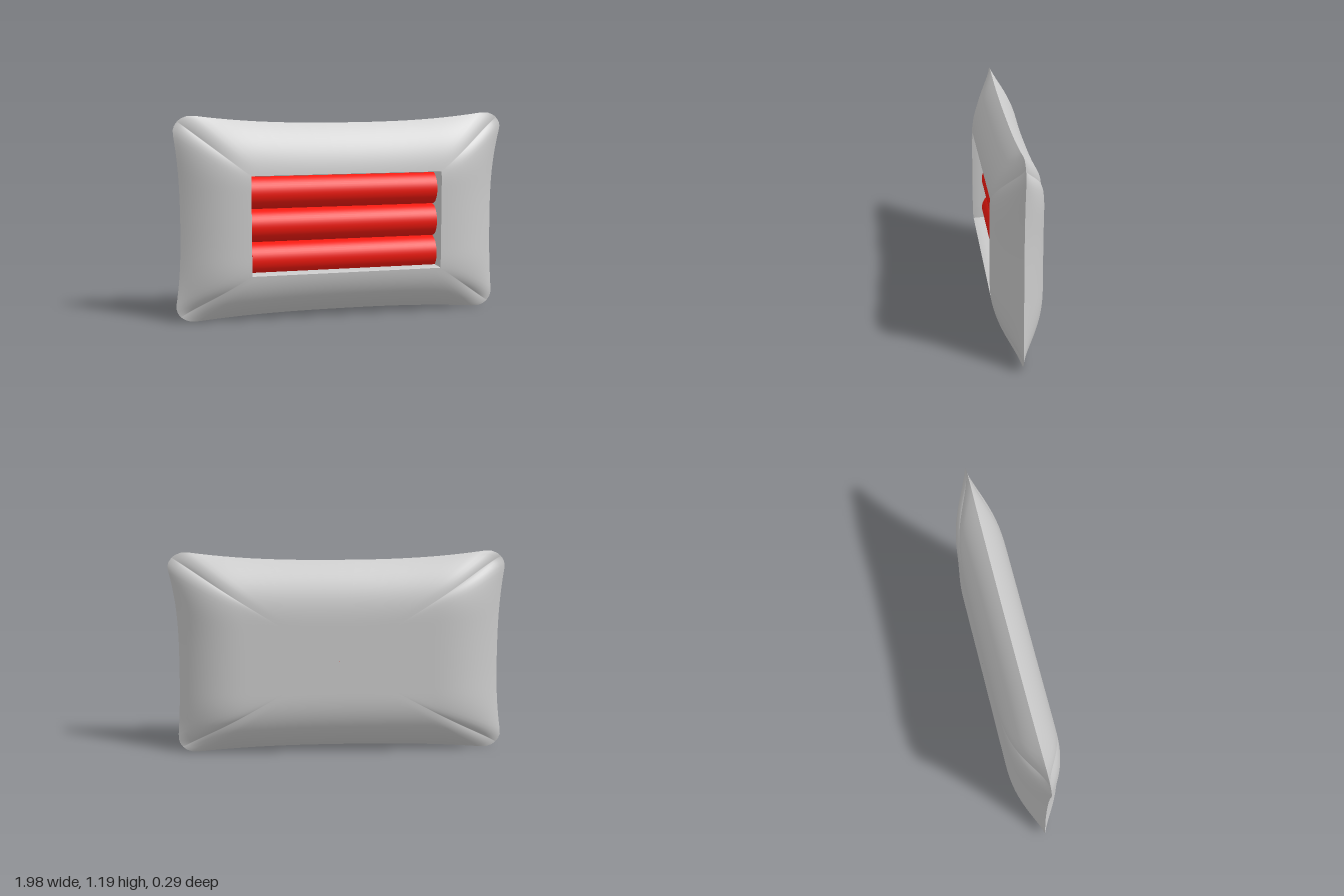
import * as THREE from 'three';
import { toCreasedNormals } from 'three/addons/utils/BufferGeometryUtils.js';

const SIDE = 30;                       // loop points along each side
const HOLE = { x: 0.57, y: 0.29, cy: 0.57 };
const THICK = 0.146;

const grey = new THREE.MeshStandardMaterial({ color: 0xcccccc });
const red = new THREE.MeshStandardMaterial({ color: 0xf51a10 });

// Counter-clockwise points of the unit square, denser near the corners
function squareLoop() {
  const loop = [];
  for (let side = 0; side < 4; side++) {
    for (let i = 0; i < SIDE; i++) {
      const w = Math.sin((i / SIDE - 0.5) * Math.PI);
      loop.push([[w, -1], [1, w], [-w, 1], [-1, -w]][side]);
    }
  }
  return loop;
}

// Pinched outline with rounded, drawn-out corners
function outline([u, v]) {
  const hx = 0.95, hy = 0.558, r = 0.1;
  let x = u * hx, y = v * hy;
  const cx = THREE.MathUtils.clamp(x, r - hx, hx - r);
  const cy = THREE.MathUtils.clamp(y, r - hy, hy - r);
  const d = Math.hypot(x - cx, y - cy);
  if (d > 0) {
    x = cx + (x - cx) * r / d;
    y = cy + (y - cy) * r / d;
  }
  const a = x / hx, b = y / hy;
  const ear = (w) => Math.min(1, Math.pow(Math.abs(w) / 0.88, 2.5));
  const right = 0.935 + (b > 0 ? 0.06 : 0.02) * ear(b);
  const left = 0.96 + 0.037 * ear(b);
  const top = 0.558 + 0.05 * ear(a);
  const bottom = 0.557 + 0.032 * ear(a);
  return [a * (a > 0 ? right : left), 0.592 + b * (b > 0 ? top : bottom)];
}

// Pillow thickness, thin at the seam and flat in the middle
function puff(u, v) {
  const f = (t) => 1 - Math.pow(1 - Math.min(1, Math.max(0, t)), 2.6);
  return THICK * f((1 - Math.abs(u)) / 0.44) * f((1 - Math.abs(v)) / 0.66);
}

// Skin between successive closed loops of [x, y, z] points
function loft(loops, flip = false) {
  const n = loops[0].length, index = [];
  for (let j = 0; j < loops.length - 1; j++) {
    for (let i = 0; i < n; i++) {
      const a = j * n + i, b = j * n + (i + 1) % n, c = a + n, d = b + n;
      if (flip) index.push(a, c, b, b, c, d);
      else index.push(a, b, c, b, d, c);
    }
  }
  const geo = new THREE.BufferGeometry();
  geo.setAttribute('position', new THREE.Float32BufferAttribute(loops.flat(2), 3));
  geo.setIndex(index);
  geo.computeVertexNormals();
  return geo;
}

// Half of the pillow: loops shrink from the seam to an inner rectangle
function shell(innerX, innerY, sign, steps) {
  const loops = [];
  const lerp = THREE.MathUtils.lerp;
  for (let j = 0; j <= steps; j++) {
    const k = j / steps;
    loops.push(squareLoop().map(([u, v]) => {
      const [x, y] = outline([u, v]);
      const pu = lerp(u, u * innerX / 0.96, k), pv = lerp(v, v * innerY / 0.56, k);
      return [lerp(x, u * innerX, k), lerp(y, HOLE.cy + v * innerY, k), sign * puff(pu, pv)];
    }));
  }
  return loft(loops, sign < 0);
}

export function createModel() {
  const group = new THREE.Group();
  const add = (name, geo, mat) => {
    const mesh = new THREE.Mesh(geo, mat);
    mesh.name = name;
    group.add(mesh);
    return mesh;
  };

  // Pillow halves meeting at the seam
  add('frontShell', shell(HOLE.x, HOLE.y, 1, 20), grey);
  add('backShell', shell(0.002, 0.001, -1, 36), grey);

  // Window recess: rolled lip, then walls down to the floor
  const floorZ = -0.07;
  const rings = [[0, null], [0.004, 0.125], [0.006, 0.1], [0.006, floorZ]];
  const walls = loft(rings.map(([inset, z]) => squareLoop().map(([u, v]) => [
    u * (HOLE.x - inset), HOLE.cy + v * (HOLE.y - inset),
    z ?? puff(u * HOLE.x / 0.96, v * HOLE.y / 0.56),
  ])));
  add('recessWalls', toCreasedNormals(walls, 0.7), grey);
  const floor = add('recessFloor', new THREE.PlaneGeometry(2 * HOLE.x, 2 * HOLE.y), grey);
  floor.position.set(0, HOLE.cy, floorZ);

  // Three rolls lying in the window
  for (let i = 0; i < 3; i++) {
    const roll = add('roll' + (i + 1), new THREE.CylinderGeometry(0.097, 0.097, 1.125, 48), red);
    roll.rotation.z = Math.PI / 2;
    roll.position.set(0.004, 0.36 + i * 0.195, -0.01);
  }
  return group;
}
